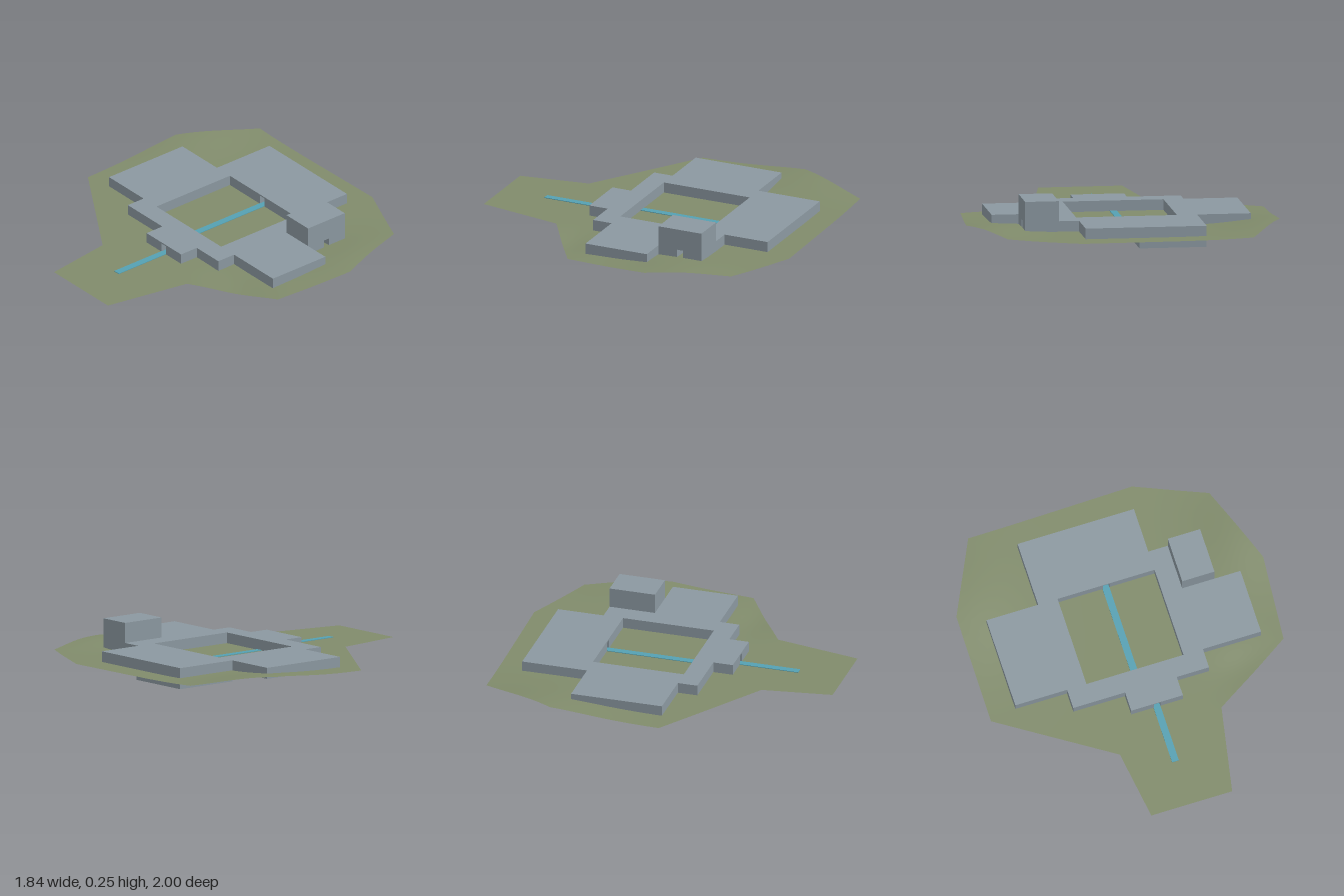
import * as THREE from 'three';

const GROUND = 0.0625;

// Extrude a plan outline of [x, z] points between two heights
function slab(name, plan, y0, y1, material, hole) {
  const toV = (p) => new THREE.Vector2(p[0], p[1]);
  const shape = new THREE.Shape(plan.map(toV));
  if (hole) shape.holes.push(new THREE.Path(hole.map(toV)));
  const geo = new THREE.ExtrudeGeometry(shape, { depth: y1 - y0, bevelEnabled: false });
  geo.rotateX(Math.PI / 2).translate(0, y1, 0);
  const mesh = new THREE.Mesh(geo, material);
  mesh.name = name;
  return mesh;
}

const rect = (x0, x1, z0, z1) => [[x0, z0], [x1, z0], [x1, z1], [x0, z1]];

// Gentle rise and dip of the land
function landHeight(x, z) {
  const bump = (cx, cz, rx, rz) => Math.exp(-(((x - cx) / rx) ** 2) - ((z - cz) / rz) ** 2);
  return GROUND + 0.042 * bump(-0.9, -0.6, 0.3, 0.4)
    + 0.024 * bump(0.8, -0.5, 0.22, 0.3)
    - 0.014 * bump(0.62, 0.28, 0.2, 0.13);
}

// Land surface: outline shrunk in rings toward the middle
function makeLand(material) {
  const outline = [[-0.7, -0.98], [0.32, -1], [0.74, -0.82], [0.92, -0.34], [0.88, 0.18], [0.4, 0.48],
    [0.3, 1], [-0.2, 1], [-0.26, 0.58], [-0.92, 0.15], [-0.92, -0.52]];
  const rings = 24, steps = 10, n = outline.length * steps;
  const pos = [], index = [];
  for (let r = 0; r <= rings; r++) {
    for (let i = 0; i < n; i++) {
      const a = outline[Math.floor(i / steps)];
      const b = outline[(Math.floor(i / steps) + 1) % outline.length];
      const t = (i % steps) / steps, s = r / rings;
      const x = (a[0] + (b[0] - a[0]) * t) * s, z = (a[1] + (b[1] - a[1]) * t) * s;
      pos.push(x, landHeight(x, z), z);
      if (r < rings) {
        const j = (i + 1) % n, p = r * n, q = p + n;
        index.push(p + i, q + j, q + i);
        if (r > 0) index.push(p + i, p + j, q + j);
      }
    }
  }
  const geo = new THREE.BufferGeometry();
  geo.setAttribute('position', new THREE.Float32BufferAttribute(pos, 3));
  geo.setIndex(index);
  geo.computeVertexNormals();
  const mesh = new THREE.Mesh(geo, material);
  mesh.name = 'land';
  return mesh;
}

export function createModel() {
  const grass = new THREE.MeshStandardMaterial({ color: 0x808b6b, side: THREE.DoubleSide });
  grass.name = 'grass';
  const stone = new THREE.MeshStandardMaterial({ color: 0x8b98a0 });
  stone.name = 'stone';
  const water = new THREE.MeshStandardMaterial({ color: 0x55a0b2 });
  water.name = 'water';

  const model = new THREE.Group();
  model.name = 'courtyardCompound';
  model.add(makeLand(grass));

  // Main storey; doorways are recesses cut into the outline
  const plan = (doors) => [
    [-0.44, -0.84], [0.28, -0.84], [0.28, -0.56], [0.6, -0.56],
    ...(doors ? [[0.6, -0.44], [0.5, -0.44], [0.5, -0.4], [0.6, -0.4]] : []),
    [0.6, -0.28], [0.76, -0.28], [0.76, 0.12], [0.4, 0.12], [0.4, 0.24], [0.2, 0.24], [0.2, 0.36],
    ...(doors ? [[0.06, 0.36], [0.06, 0.24], [0.02, 0.24], [0.02, 0.36]] : []),
    [-0.12, 0.36], [-0.12, 0.24], [-0.44, 0.24], [-0.44, 0.12],
    [-0.76, 0.12], [-0.76, -0.44], [-0.44, -0.44]];
  const court = rect(-0.32, 0.28, -0.44, 0.12);
  const courtWithDoor = [[-0.32, -0.44], [-0.04, -0.44], [-0.04, -0.54], [0, -0.54], [0, -0.44],
    [0.28, -0.44], [0.28, 0.12], [-0.32, 0.12]];
  model.add(slab('walls', plan(true), 0.06, 0.118, stone, courtWithDoor));
  model.add(slab('roof', plan(false), 0.118, 0.126, stone, court));

  // Tower and stepped cellar
  model.add(slab('tower', rect(0.4, 0.6, -0.56, -0.28), 0.126, 0.246, stone));
  model.add(slab('cellar', [[-0.44, -0.84], [-0.04, -0.84], [-0.04, -0.56], [0.4, -0.56],
    [0.4, -0.44], [-0.44, -0.44]], 0, 0.06, stone));

  // Water channels: courtyard, outflow and the buried bend by the tower
  model.add(slab('courtyardStream', rect(-0.042, 0, -0.54, 0.12), 0.061, 0.066, water));
  model.add(slab('outflowStream', rect(0.018, 0.06, 0.24, 0.72), 0.061, 0.066, water));
  model.add(slab('buriedStream', [[0.5, -0.44], [0.7, -0.44], [0.74, -0.4], [0.74, -0.26], [0.7, -0.26],
    [0.7, -0.38], [0.68, -0.4], [0.5, -0.4]], 0.061, 0.066, water));
  return model;
}
